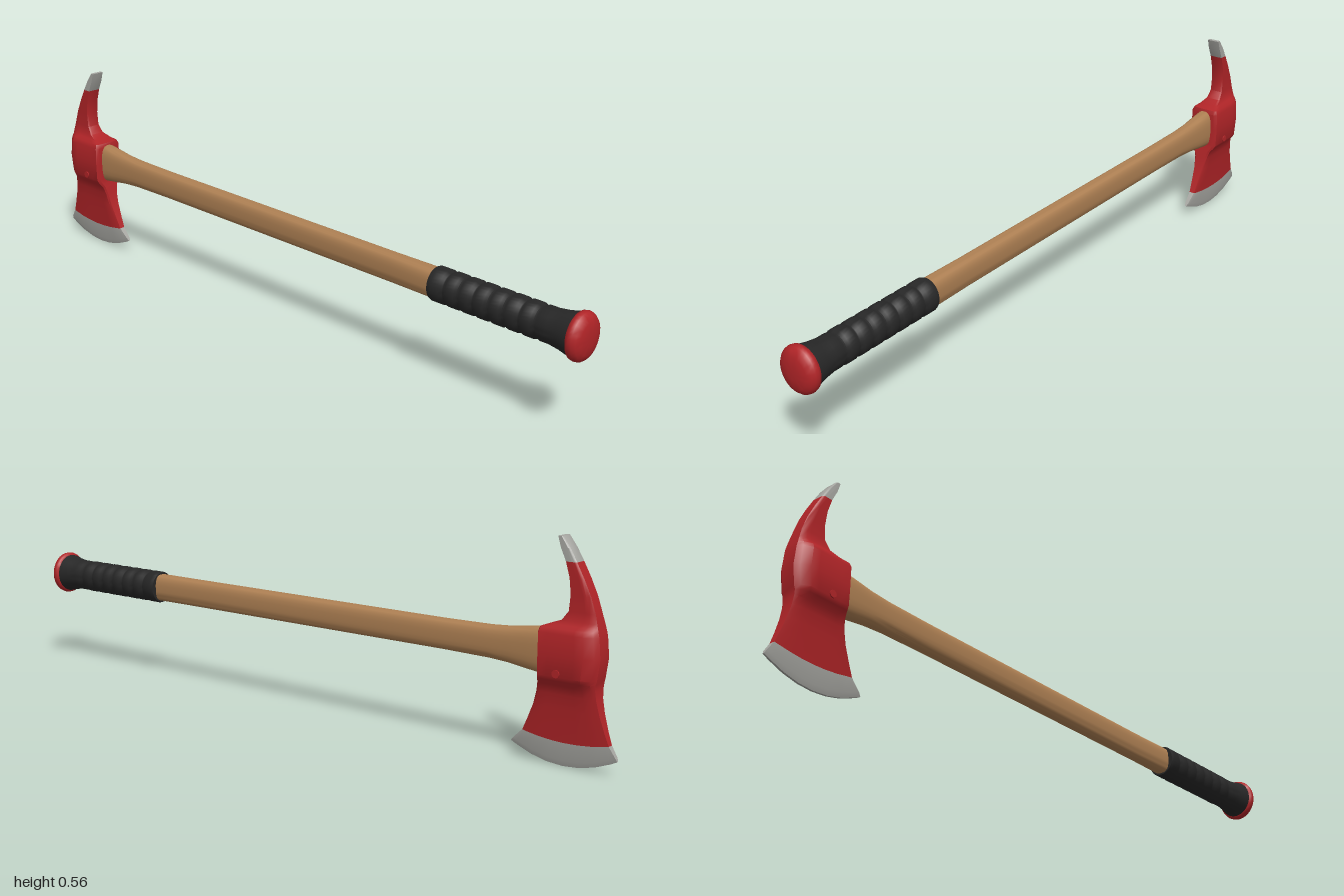
import * as THREE from 'three';
import { toCreasedNormals } from 'three/addons/utils/BufferGeometryUtils.js';

const AXIS_Y = 0.279; // height of the handle axis

const mat = (name, color) => {
  const m = new THREE.MeshStandardMaterial({ color });
  m.name = name;
  return m;
};

// Skin a list of equal-length rings and close both ends with strips.
function loft(rings, crease = 0.6) {
  const n = rings[0].length;
  const index = [];
  for (let j = 0; j < rings.length - 1; j++) {
    for (let i = 0; i < n; i++) {
      const k = (i + 1) % n;
      const a = j * n + i, b = j * n + k, c = b + n, d = a + n;
      index.push(a, b, c, a, c, d);
    }
  }
  const top = (rings.length - 1) * n;
  for (let i = 0; i < n / 2 - 1; i++) {
    const a = i, b = i + 1, c = n - 2 - i, d = n - 1 - i;
    index.push(a, c, b, a, d, c);
    index.push(top + a, top + b, top + c, top + a, top + c, top + d);
  }
  const geo = new THREE.BufferGeometry();
  geo.setAttribute('position', new THREE.Float32BufferAttribute(rings.flat(2), 3));
  geo.setIndex(index);
  return toCreasedNormals(geo, crease);
}

// Horizontal slice of the head: sag bows it downward, back rounds the rear edge.
function headRing([y, zFront, zBack, half, sag = 0, back = 0.8]) {
  const section = [[1, 0.8], [0.93, 1], [0.6, 1], [0.3, 1], [0, 1], [-0.3, 1],
    [-0.6, 1], [-0.88, (1 + back) / 2], [-1, back]];
  const mid = (zFront + zBack) / 2, len = (zFront - zBack) / 2;
  const side = section.map(([u, w]) => [half * w, y - sag * (1 - u * u), mid + len * u]);
  return [...side, ...side.map(([x, h, z]) => [-x, h, z]).reverse()];
}

// Rounded-rectangle slice across the handle.
function handleRing([z, hw, hh]) {
  const n = 24;
  const soft = (v) => Math.sign(v) * Math.abs(v) ** 0.7;
  return Array.from({ length: n }, (_, i) => {
    const a = ((i + 0.5) / n) * Math.PI * 2;
    return [hw * soft(Math.cos(a)), AXIS_Y + hh * soft(Math.sin(a)), z];
  });
}

// Turned part along z, slightly narrower in x.
function turned(profile, crease) {
  const geo = new THREE.LatheGeometry(profile.map(([r, z]) => new THREE.Vector2(r, z)), 32);
  geo.rotateX(Math.PI / 2).scale(0.92, 1, 1).translate(0, AXIS_Y, 0);
  return toCreasedNormals(geo, crease);
}

export function createModel() {
  const red = mat('red paint', 0xb02427);
  const steel = mat('bare steel', 0xa6a6a1);
  const wood = mat('wood', 0xae8053);
  const rubber = mat('black rubber', 0x272727);

  const group = new THREE.Group();
  group.name = 'axe';
  const add = (name, geo, material) => {
    const mesh = new THREE.Mesh(geo, material);
    mesh.name = name;
    group.add(mesh);
    return mesh;
  };

  // Wooden handle, swelling toward the head
  add('handle', loft([
    [-0.86, 0.027, 0.058], [-0.79, 0.027, 0.058], [-0.75, 0.026, 0.053],
    [-0.7, 0.024, 0.046], [-0.64, 0.023, 0.042], [-0.5, 0.023, 0.04],
    [0.4, 0.024, 0.04], [0.6, 0.03, 0.04],
  ].map(handleRing)), wood);

  // Ribbed grip with a flared end
  const grip = [[0, 0.54], [0.045, 0.54], [0.047, 0.545]];
  const bands = 7, pitch = 0.046;
  for (let i = 0; i < bands; i++) {
    const z = 0.545 + i * pitch;
    grip.push([0.047, z + 0.008], [0.047, z + pitch - 0.012],
      [0.042, z + pitch - 0.004], [0.042, z + pitch]);
  }
  grip.push([0.046, 0.875], [0.046, 0.9], [0.05, 0.93], [0.056, 0.955], [0.058, 0.972], [0, 0.972]);
  add('grip', turned(grip, 0.7), rubber);

  // Pommel cap
  add('pommel', turned([[0, 0.962], [0.056, 0.962], [0.062, 0.966], [0.064, 0.974],
    [0.062, 0.983], [0.055, 0.991], [0.042, 0.997], [0.02, 1], [0, 1]], 0.8), red);

  // Painted head: blade cheek, eye block and lower spike
  const joinBlade = [0.073, -0.742, -0.979, 0.01, 0.013];
  const joinSpike = [0.503, -0.853, -0.882, 0.02];
  add('head', loft([
    joinBlade,
    [0.105, -0.757, -0.967, 0.013, 0.007],
    [0.145, -0.774, -0.954, 0.017, 0.002],
    [0.18, -0.784, -0.946, 0.021],
    [0.203, -0.789, -0.944, 0.028, 0, 0.7],
    [0.217, -0.793, -0.945, 0.039, 0, 0.55],
    [0.228, -0.795, -0.948, 0.045, 0, 0.45],
    [0.28, -0.795, -0.955, 0.046, 0, 0.45],
    [0.332, -0.795, -0.95, 0.045, 0, 0.45],
    [0.344, -0.798, -0.947, 0.04, 0, 0.5],
    [0.352, -0.82, -0.945, 0.03, 0, 0.65],
    [0.363, -0.848, -0.942, 0.023],
    [0.385, -0.864, -0.936, 0.02],
    [0.425, -0.868, -0.922, 0.02],
    [0.465, -0.864, -0.903, 0.02],
    joinSpike,
  ].map(headRing)), red);

  // Bare steel cutting edge and spike tip
  add('cuttingEdge', loft([
    [0.038, -0.707, -1, 0.003, 0.038], [0.047, -0.715, -0.996, 0.007, 0.033], joinBlade,
  ].map(headRing)), steel);
  add('spikeTip', loft([
    joinSpike, [0.535, -0.838, -0.863, 0.0195], [0.562, -0.83, -0.842, 0.019],
  ].map(headRing)), steel);

  // Pin through the eye
  const pin = new THREE.CylinderGeometry(0.01, 0.01, 0.096, 16).rotateZ(Math.PI / 2);
  add('pin', pin, red).position.set(0, 0.236, -0.852);

  return group;
}
